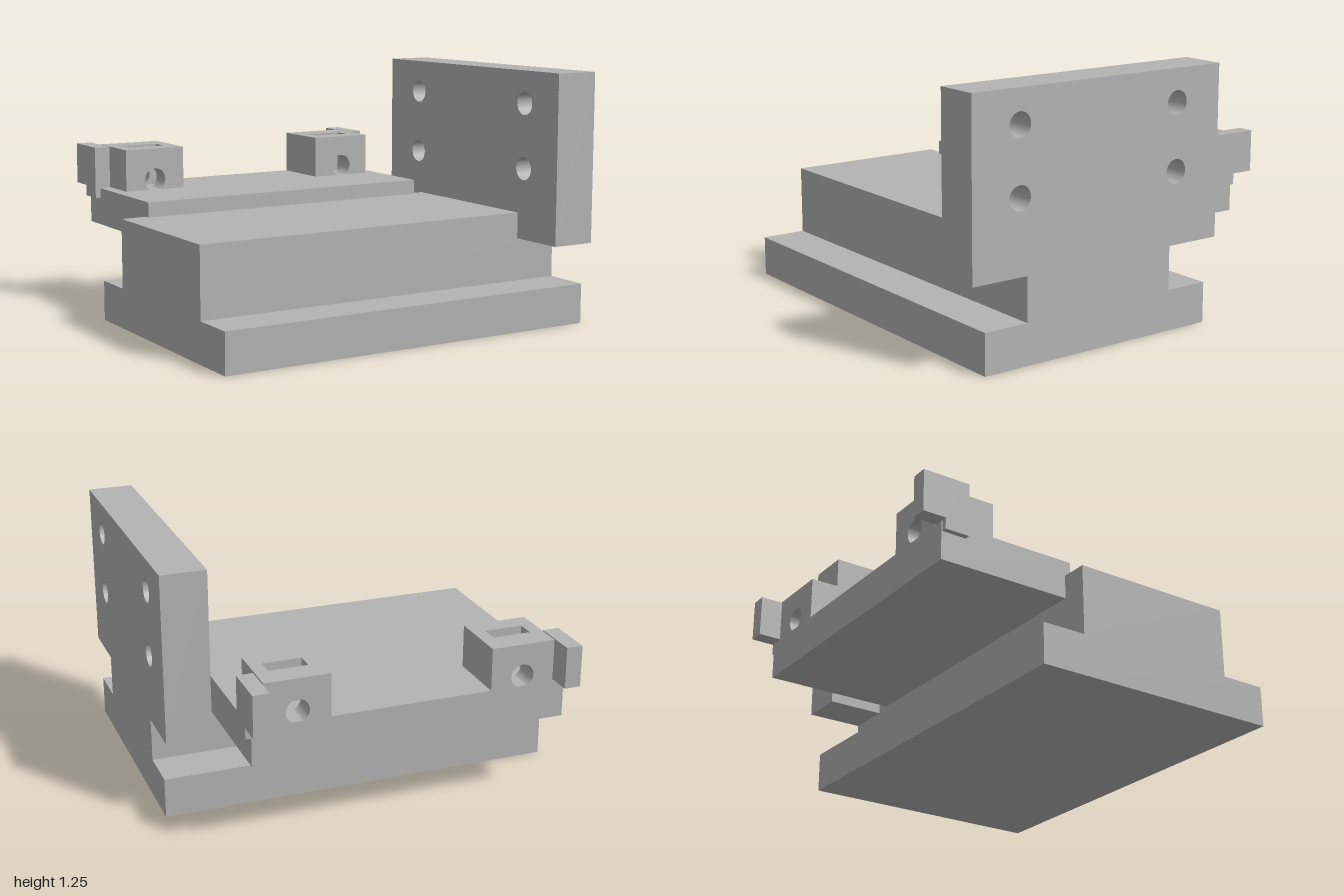
import * as THREE from 'three';

export function createModel() {
  const model = new THREE.Group();
  const grey = new THREE.MeshStandardMaterial({ color: 0xb3b3b3 });
  grey.name = 'machinedGrey';

  const add = (name, geometry, parent = model) => {
    const mesh = new THREE.Mesh(geometry, grey);
    mesh.name = name;
    parent.add(mesh);
    return mesh;
  };
  // Box given by its limits on each axis
  const box = (name, [x0, x1], [y0, y1], [z0, z1], parent) =>
    add(name, new THREE.BoxGeometry(x1 - x0, y1 - y0, z1 - z0)
      .translate((x0 + x1) / 2, (y0 + y1) / 2, (z0 + z1) / 2), parent);
  const polygon = (points) => new THREE.Shape(points.map(([a, b]) => new THREE.Vector2(a, b)));
  const extrude = (shape, depth) =>
    new THREE.ExtrudeGeometry(shape, { depth, bevelEnabled: false, curveSegments: 32 });
  // (x, y) outline swept along z
  const alongZ = (name, shape, z0, z1, parent) =>
    add(name, extrude(shape, z1 - z0).translate(0, 0, z0), parent);
  // (z, y) outline swept along x
  const alongX = (name, shape, x0, x1, parent) =>
    add(name, extrude(shape, x1 - x0).rotateY(-Math.PI / 2).translate(x1, 0, 0), parent);

  // Base slab and the raised block, stepped where the side plate seats
  box('baseSlab', [-1, 1], [0, 0.2], [-0.395, 0.895]);
  alongZ('raisedBlock', polygon([
    [-1, 0.2], [1, 0.2], [1, 0.415], [0.775, 0.415], [0.775, 0.545], [-1, 0.545],
  ]), -0.17, 0.665);

  // Upright side plate with four through holes
  const plate = polygon([[-0.46, 0.415], [0.96, 0.415], [0.96, 1.255], [-0.46, 1.255]]);
  for (const z of [0.705, -0.2]) {
    for (const y of [0.77, 1.093]) {
      plate.holes.push(new THREE.Path().absarc(z, y, 0.058, 0, Math.PI * 2, true));
    }
  }
  alongX('sidePlate', plate, 0.775, 1);

  // Rear shelf overhanging the back of the block
  box('rearShelf', [-0.87, 0.705], [0.43, 0.62], [-0.848, -0.14]);

  // Lugs: round bore along z, crossed by a rectangular slot from the top
  const bottom = 0.62, top = 0.833, boreY = 0.672, boreR = 0.058;
  const half = 0.162, slotHalf = 0.097;
  const makeLug = (name, cx) => {
    const lug = new THREE.Group();
    lug.name = name;
    model.add(lug);
    const a = Math.asin((bottom - boreY) / boreR);
    const chord = boreR * Math.cos(a);
    const face = new THREE.Shape();
    face.moveTo(cx + chord, bottom);
    face.lineTo(cx + half, bottom);
    face.lineTo(cx + half, top);
    face.lineTo(cx - half, top);
    face.lineTo(cx - half, bottom);
    face.lineTo(cx - chord, bottom);
    face.absarc(cx, boreY, boreR, Math.PI - a, a, true);
    alongZ('lugBack', face, -0.848, -0.72, lug);
    alongZ('lugFront', face, -0.63, -0.53, lug);
    box('lugWallRight', [cx - half, cx - slotHalf], [bottom, top], [-0.72, -0.63], lug);
    box('lugWallLeft', [cx + slotHalf, cx + half], [bottom, top], [-0.72, -0.63], lug);
  };
  makeLug('rightLug', -0.647);
  makeLug('leftLug', 0.482);

  // Stepped tabs hooked over the rear shelf corners
  const tab = polygon([
    [-0.96, 0.625], [-0.843, 0.625], [-0.843, 0.57], [-0.72, 0.57], [-0.72, top], [-0.96, top],
  ]);
  alongX('rightTab', tab, -0.897, -0.816);
  alongX('leftTab', tab, 0.65, 0.731);

  return model;
}
